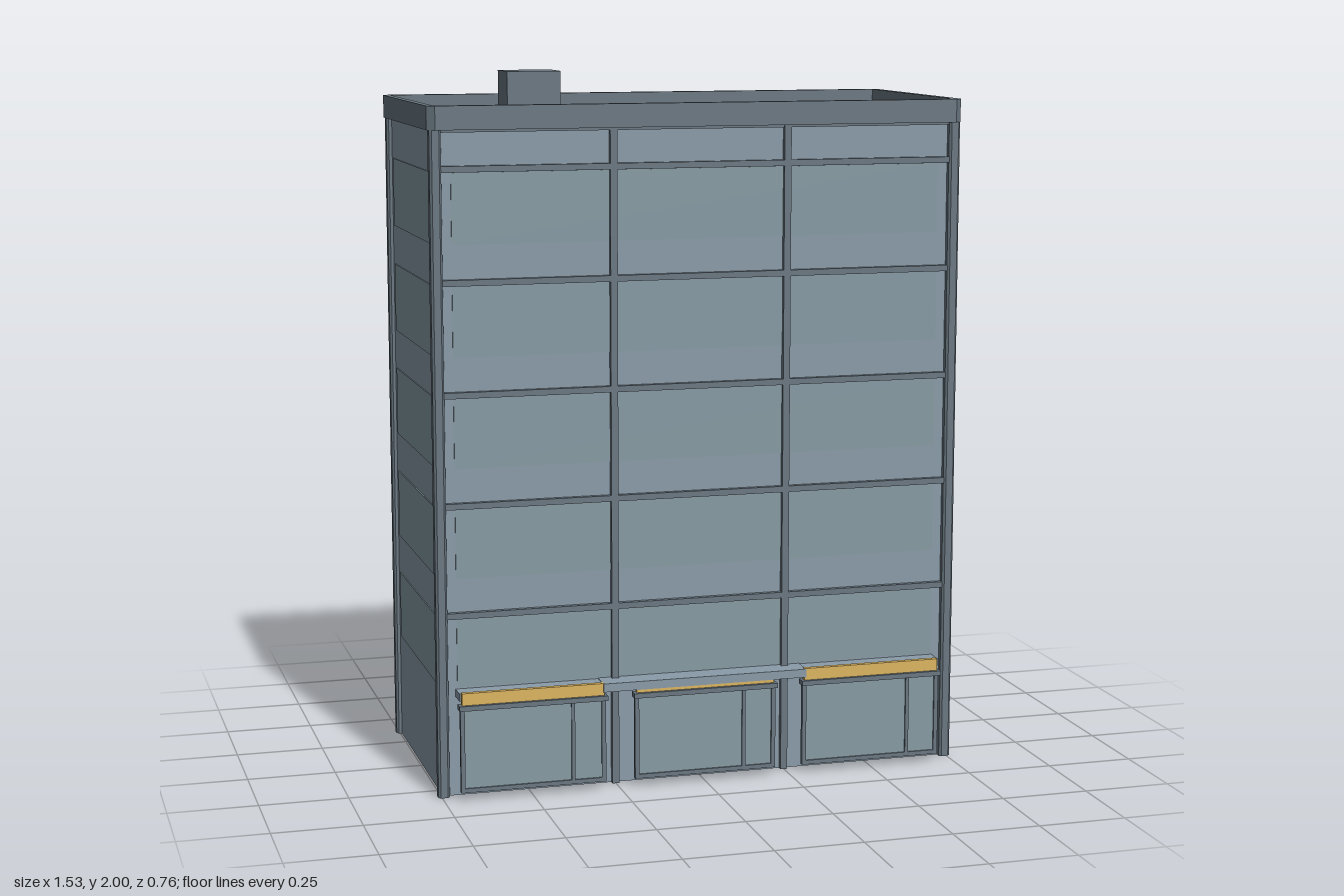
import * as THREE from 'three';

const mat = (color) => new THREE.MeshStandardMaterial({ color });

export function createModel() {
  const wall = mat(0x8a9ba8), trim = mat(0x6a7781), glass = mat(0x869aa3), yellow = mat(0xdcb560);
  const model = new THREE.Group();
  model.name = 'officeBuilding';

  // Box given by its minimum and maximum corners
  const box = (name, material, x0, x1, y0, y1, z0, z1, parent = model) => {
    const mesh = new THREE.Mesh(new THREE.BoxGeometry(x1 - x0, y1 - y0, z1 - z0), material);
    mesh.position.set((x0 + x1) / 2, (y0 + y1) / 2, (z0 + z1) / 2);
    mesh.name = name;
    parent.add(mesh);
    return mesh;
  };

  // Chamfered rectangle in plan, raised from y0 to y1, with an optional rectangular hole
  const prism = (name, x0, x1, z0, z1, cut, y0, y1, hole) => {
    const shape = new THREE.Shape([
      [x0 + cut, -z1], [x1 - cut, -z1], [x1, -z1 + cut], [x1, -z0 - cut],
      [x1 - cut, -z0], [x0 + cut, -z0], [x0, -z0 - cut], [x0, -z1 + cut],
    ].map(([x, y]) => new THREE.Vector2(x, y)));
    if (hole) {
      const [a, b, c, d] = hole;
      shape.holes.push(new THREE.Path([[a, -d], [a, -c], [b, -c], [b, -d]].map(([x, y]) => new THREE.Vector2(x, y))));
    }
    const geometry = new THREE.ExtrudeGeometry(shape, { depth: y1 - y0, bevelEnabled: false });
    geometry.rotateX(-Math.PI / 2).translate(0, y0, 0);
    const mesh = new THREE.Mesh(geometry, trim);
    mesh.name = name;
    model.add(mesh);
  };

  const front = 0.305, back = -0.355, midZ = (front + back) / 2;

  // Main block and roof
  box('mainBlock', wall, -0.745, 0.745, 0, 1.855, back, front);
  prism('parapet', -0.765, 0.765, -0.383, 0.33, 0.02, 1.85, 1.915, [-0.745, 0.745, -0.36, 0.305]);
  box('roofBox', trim, -0.52, -0.37, 1.85, 2, 0.085, 0.205);

  // Corner posts
  for (const s of [-1, 1]) {
    for (const z of [0.308, -0.358]) {
      prism('cornerPost', s * 0.744 - 0.016, s * 0.744 + 0.016, z - 0.017, z + 0.017, 0.006, 0, 1.85);
    }
  }

  // Facade details shared by the front and back
  const bays = [[-0.735, -0.255], [-0.245, 0.245], [0.255, 0.735]];
  for (const side of [-1, 1]) {
    const facade = new THREE.Group();
    facade.name = side > 0 ? 'frontFacade' : 'backFacade';
    facade.position.z = midZ;
    facade.rotation.y = side > 0 ? 0 : Math.PI;
    model.add(facade);
    const z = front - midZ;
    for (const x of [-0.25, 0.25]) box('pilaster', trim, x - 0.01, x + 0.01, 0, 1.85, z - 0.01, z + 0.015, facade);
    for (let floor = 0; floor < 5; floor++) {
      const y = 0.31 + floor * 0.3075;
      box('windowBand', glass, -0.7, 0.7, y, y + 0.195, z - 0.01, z + 0.003, facade);
      for (const [a, b] of bays) box('floorLedge', trim, a, b, y + 0.196, y + 0.213, z - 0.01, z + 0.015, facade);
    }
    for (const [a, b] of bays) box('topLedge', trim, a, b, 1.843, 1.857, z - 0.01, z + 0.012, facade);
  }

  // Side windows
  for (const s of [-1, 1]) {
    for (let floor = 0; floor < 5; floor++) {
      const y = 0.31 + floor * 0.3075;
      const x = s * 0.742;
      box('sideWindow', glass, x - 0.006, x + 0.006, y, y + 0.195, -0.31, 0.265);
    }
  }

  // Canopy over the shop fronts
  box('canopy', wall, -0.705, 0.705, 0.283, 0.305, 0.3, 0.357);
  box('canopyCentre', wall, -0.298, 0.298, 0.283, 0.307, 0.3, 0.374);

  // Shop fronts: framed glazing with a door bar, a head rail and a sign strip
  const shops = [[-0.498, -0.385], [0, 0.113], [0.495, 0.607]];
  for (const [cx, doorX] of shops) {
    const shop = new THREE.Group();
    shop.name = 'shopFront';
    model.add(shop);
    const a = cx - 0.207, b = cx + 0.207;
    const z0 = 0.357, z1 = 0.37;
    box('shopGlass', glass, a + 0.005, b - 0.005, 0.03, 0.265, 0.36, 0.365, shop);
    box('shopSill', trim, a, b, 0.024, 0.036, z0, z1, shop);
    for (const x of [a, b - 0.012]) box('shopJamb', trim, x, x + 0.012, 0.024, 0.265, z0, z1, shop);
    box('doorBar', trim, doorX - 0.005, doorX + 0.005, 0.03, 0.265, z0, z1, shop);
    box('headRail', trim, a - 0.004, b + 0.004, 0.26, 0.274, 0.35, 0.381, shop);
    const top = cx === 0 ? 0.284 : 0.308;
    box('signStrip', yellow, cx - 0.202, cx + 0.202, 0.274, top, 0.356, 0.371, shop);
  }

  return model;
}
